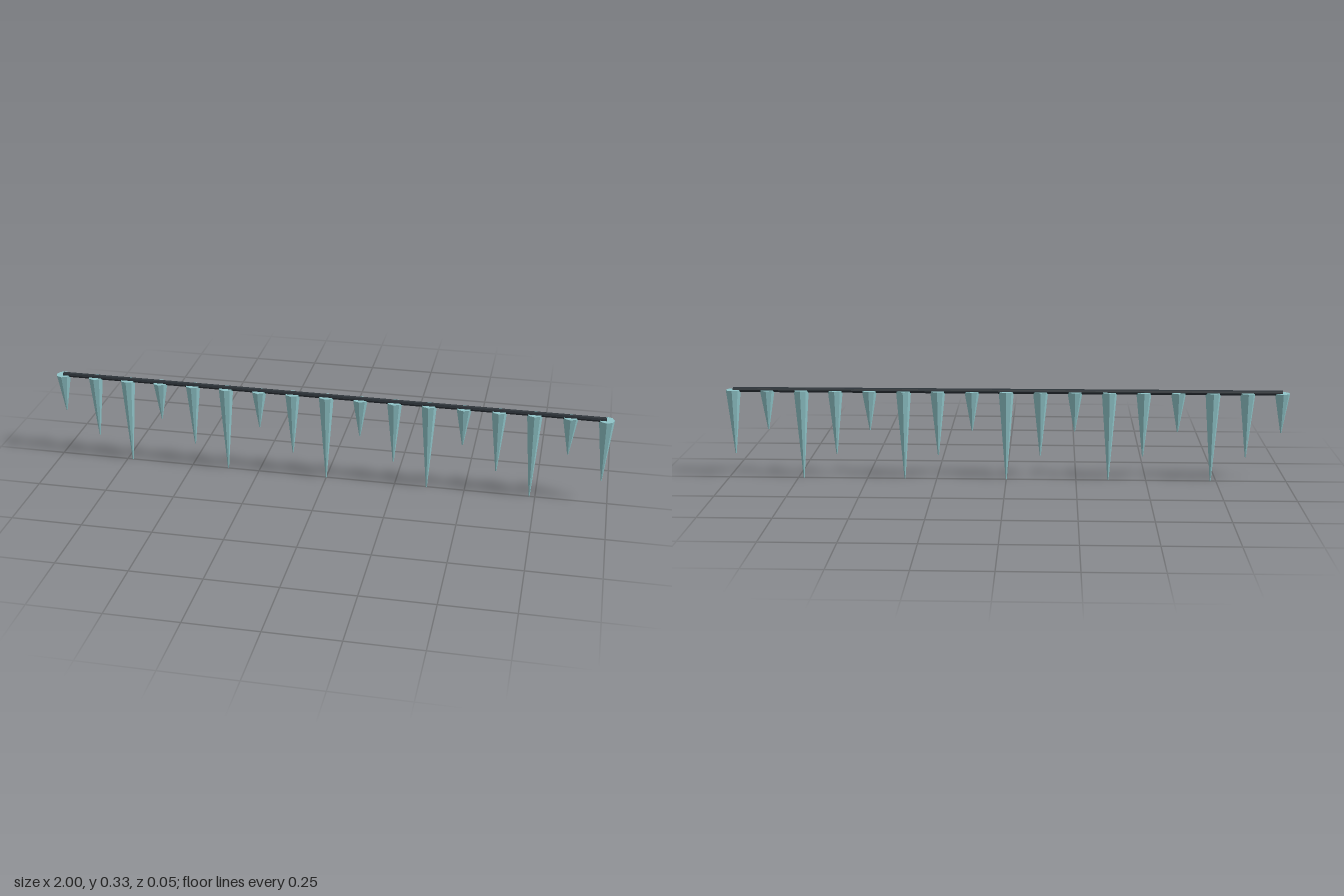
import * as THREE from 'three';

export function createModel() {
  const group = new THREE.Group();
  const ice = new THREE.MeshStandardMaterial({ color: 0x8fc4c8, flatShading: true });
  const dark = new THREE.MeshStandardMaterial({ color: 0x2b3238, flatShading: true });

  const count = 17, halfSpan = 0.973, top = 0.322;
  const lengths = [0.143, 0.233, 0.322]; // short, medium, long, repeating

  // Cable the icicles hang from
  const cable = new THREE.Mesh(new THREE.CylinderGeometry(0.0092, 0.0092, halfSpan * 2, 8), dark);
  cable.name = 'cable';
  cable.rotation.z = Math.PI / 2;
  cable.position.y = top + 0.001;
  group.add(cable);

  // Tapered eight-sided icicles with slightly blunt tips
  const shapes = lengths.map((l) => new THREE.CylinderGeometry(0.0268, 0.002, l, 8));
  for (let i = 0; i < count; i++) {
    const size = i % 3;
    const icicle = new THREE.Mesh(shapes[size], ice);
    icicle.name = `icicle${i + 1}`;
    icicle.position.set(-halfSpan + (i * 2 * halfSpan) / (count - 1), top - lengths[size] / 2, 0);
    group.add(icicle);
  }
  return group;
}
